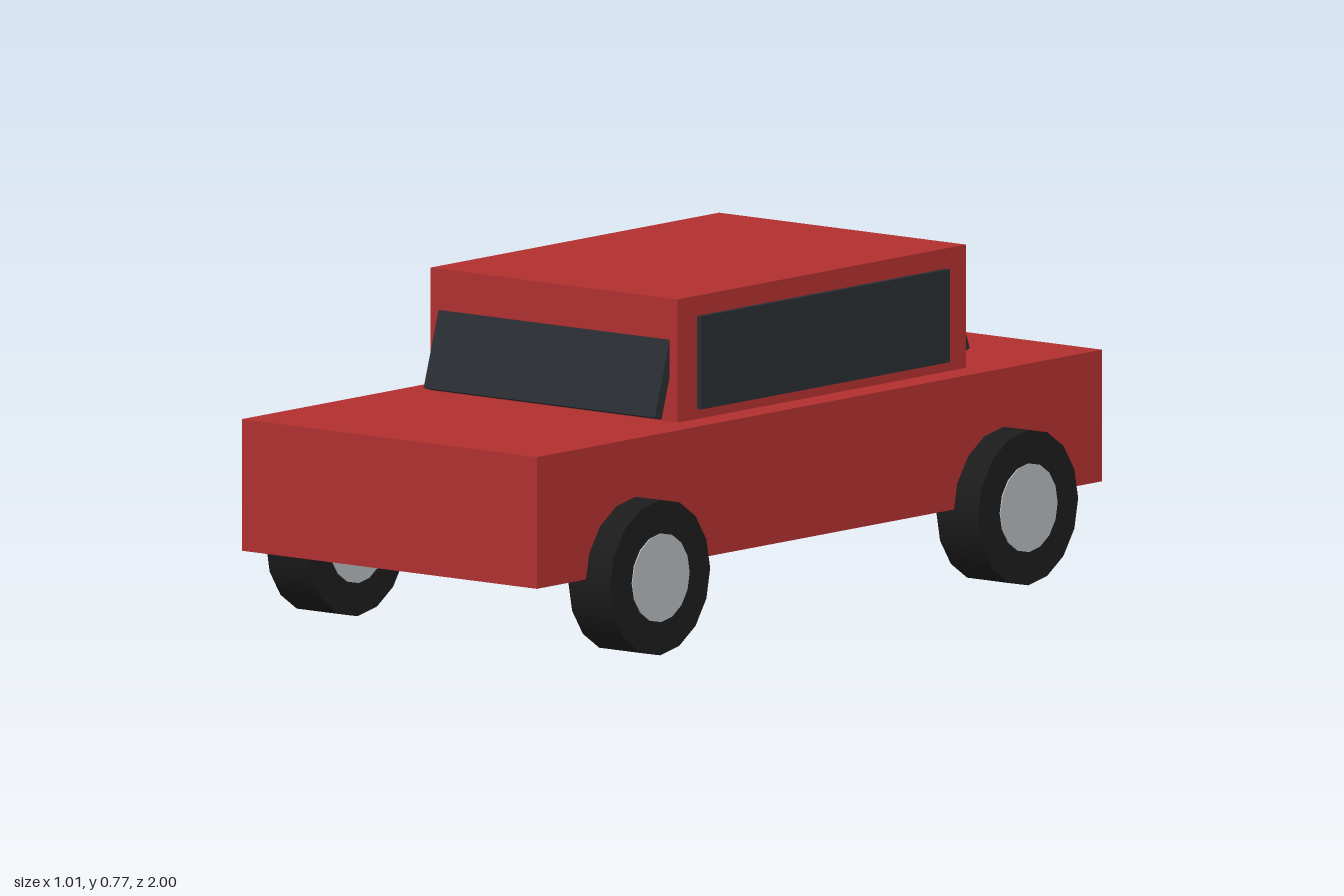
import * as THREE from 'three';

const paint = new THREE.MeshStandardMaterial({ color: 0xb23030 });
const glass = new THREE.MeshStandardMaterial({ color: 0x2a2e32 });
const rubber = new THREE.MeshStandardMaterial({ color: 0x1c1c1c });
const metal = new THREE.MeshStandardMaterial({ color: 0xb4b9bd });

export function createModel() {
  const car = new THREE.Group();
  car.name = 'car';

  function box(name, material, size, position, tilt = 0) {
    const mesh = new THREE.Mesh(new THREE.BoxGeometry(...size), material);
    mesh.name = name;
    mesh.position.set(...position);
    mesh.rotation.x = tilt;
    car.add(mesh);
  }

  // Body and cabin
  box('body', paint, [0.86, 0.3, 2], [0, 0.337, 0]);
  box('cabin', paint, [0.72, 0.281, 1.02], [0, 0.6275, -0.093]);

  // Tilted front and rear windows, partly sunk into the cabin
  box('windshield', glass, [0.674, 0.22, 0.025], [0, 0.604, 0.4255], -0.3);
  box('rearWindow', glass, [0.674, 0.2, 0.022], [0, 0.615, -0.6], 0.35);

  // Side windows
  for (const side of [1, -1]) {
    box(side > 0 ? 'leftWindow' : 'rightWindow', glass,
      [0.025, 0.212, 0.88], [side * 0.36, 0.616, -0.091]);
  }

  // Wheels: a tyre with a slightly proud hub disc
  const tyreGeometry = new THREE.CylinderGeometry(0.177, 0.177, 0.122, 16).rotateZ(Math.PI / 2);
  const hubGeometry = new THREE.CylinderGeometry(0.101, 0.101, 0.128, 16).rotateZ(Math.PI / 2);
  for (const side of [1, -1]) {
    for (const end of [1, -1]) {
      const wheel = new THREE.Group();
      wheel.name = (end > 0 ? 'front' : 'rear') + (side > 0 ? 'Left' : 'Right') + 'Wheel';
      const tyre = new THREE.Mesh(tyreGeometry, rubber);
      tyre.name = 'tyre';
      const hub = new THREE.Mesh(hubGeometry, metal);
      hub.name = 'hub';
      wheel.add(tyre, hub);
      wheel.position.set(side * 0.441, 0.177, end * 0.651);
      car.add(wheel);
    }
  }

  return car;
}
